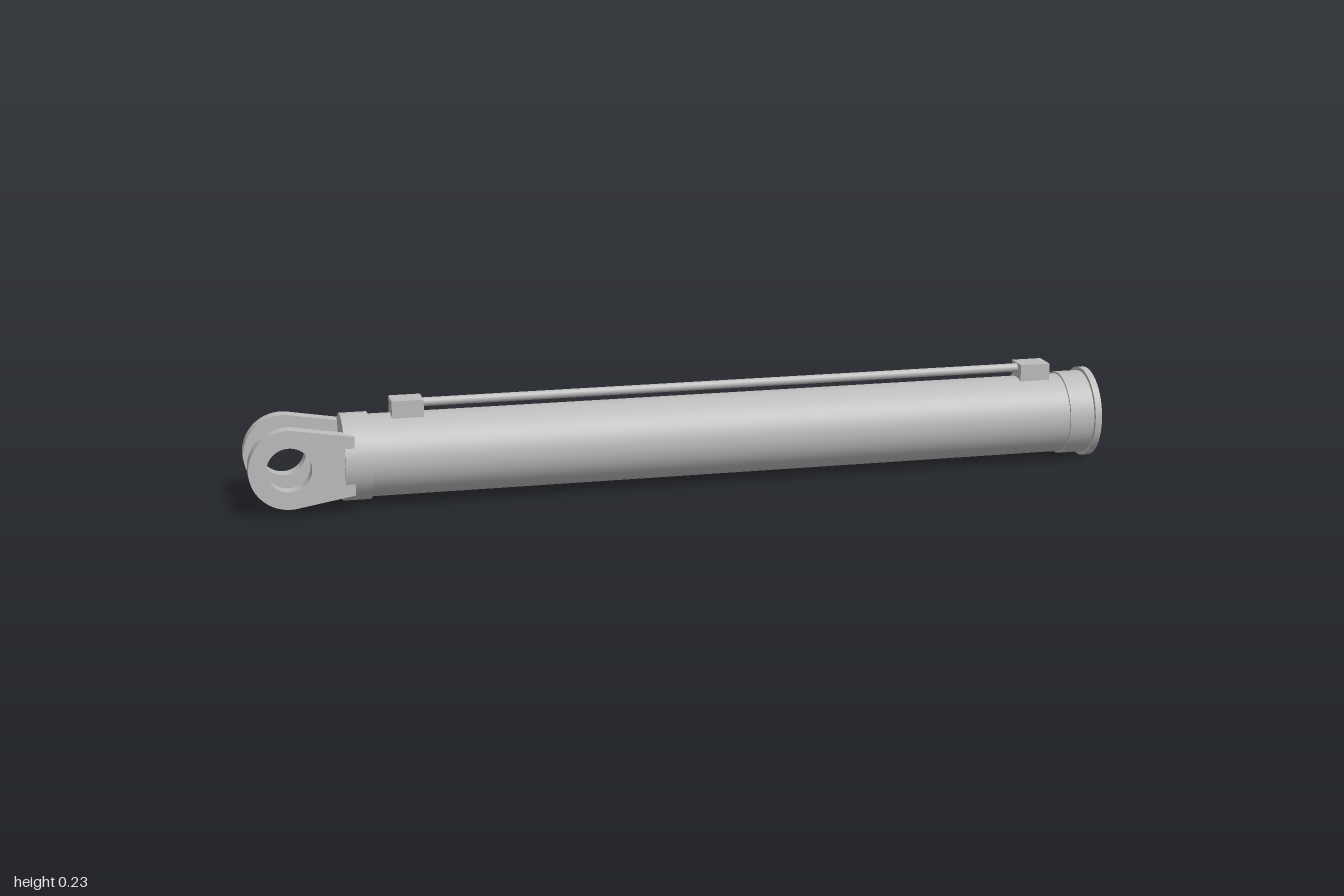
import * as THREE from 'three';

const AXIS_Y = 0.106;

export function createModel() {
  const model = new THREE.Group();
  model.name = 'hydraulicCylinder';
  const steel = new THREE.MeshStandardMaterial({ color: 0xbcbcbc });
  steel.name = 'grey steel';

  const add = (name, geometry, x = 0, y = AXIS_Y, z = 0) => {
    const mesh = new THREE.Mesh(geometry, steel);
    mesh.name = name;
    mesh.position.set(x, y, z);
    model.add(mesh);
    return mesh;
  };
  // cylinder along x between two stations
  const rod = (name, x0, x1, r, y = AXIS_Y, sides = 64) =>
    add(name, new THREE.CylinderGeometry(r, r, x1 - x0, sides).rotateZ(-Math.PI / 2), (x0 + x1) / 2, y);
  // ring along x with an open bore
  const ring = (name, x0, x1, r, bore) => {
    const shape = new THREE.Shape().absarc(0, 0, r, 0, Math.PI * 2);
    shape.holes.push(new THREE.Path().absarc(0, 0, bore, 0, Math.PI * 2, true));
    const g = new THREE.ExtrudeGeometry(shape, { depth: x1 - x0, bevelEnabled: false, curveSegments: 48 });
    return add(name, g.rotateY(Math.PI / 2), x0);
  };

  // barrel, end collars and bored flange
  rod('barrel', -0.74, 0.94, 0.0935);
  rod('clevisCollar', -0.787, -0.725, 0.099);
  ring('headCollar', 0.925, 0.985, 0.098, 0.057);
  ring('endFlange', 0.984, 1, 0.106, 0.057);
  rod('pistonRodEnd', 0.93, 0.955, 0.053);

  // clevis plates: round eye with sides tapering towards the collar
  const eyeX = -0.91, eyeR = 0.09, endX = -0.765, endH = 0.067;
  const dx = endX - eyeX;
  const tangent = Math.atan2(endH, dx) + Math.acos(eyeR / Math.hypot(dx, endH));
  const plate = new THREE.Shape();
  plate.moveTo(dx, -endH);
  plate.lineTo(dx, endH);
  plate.absarc(0, 0, eyeR, tangent, Math.PI * 2 - tangent);
  plate.closePath();
  plate.holes.push(new THREE.Path().absarc(0, 0, 0.05, 0, Math.PI * 2, true));
  for (const [name, z] of [['leftClevisPlate', 0.055], ['rightClevisPlate', -0.09]]) {
    add(name, new THREE.ExtrudeGeometry(plate, { depth: 0.035, bevelEnabled: false, curveSegments: 40 }), eyeX, AXIS_Y, z);
  }

  // fluid line with a port block at each end
  rod('fluidLine', -0.62, 0.84, 0.01, 0.222, 24);
  for (const [name, x] of [['rearPortBlock', -0.637], ['headPortBlock', 0.857]]) {
    add(name, new THREE.BoxGeometry(0.072, 0.054, 0.06), x, 0.207);
  }
  return model;
}
